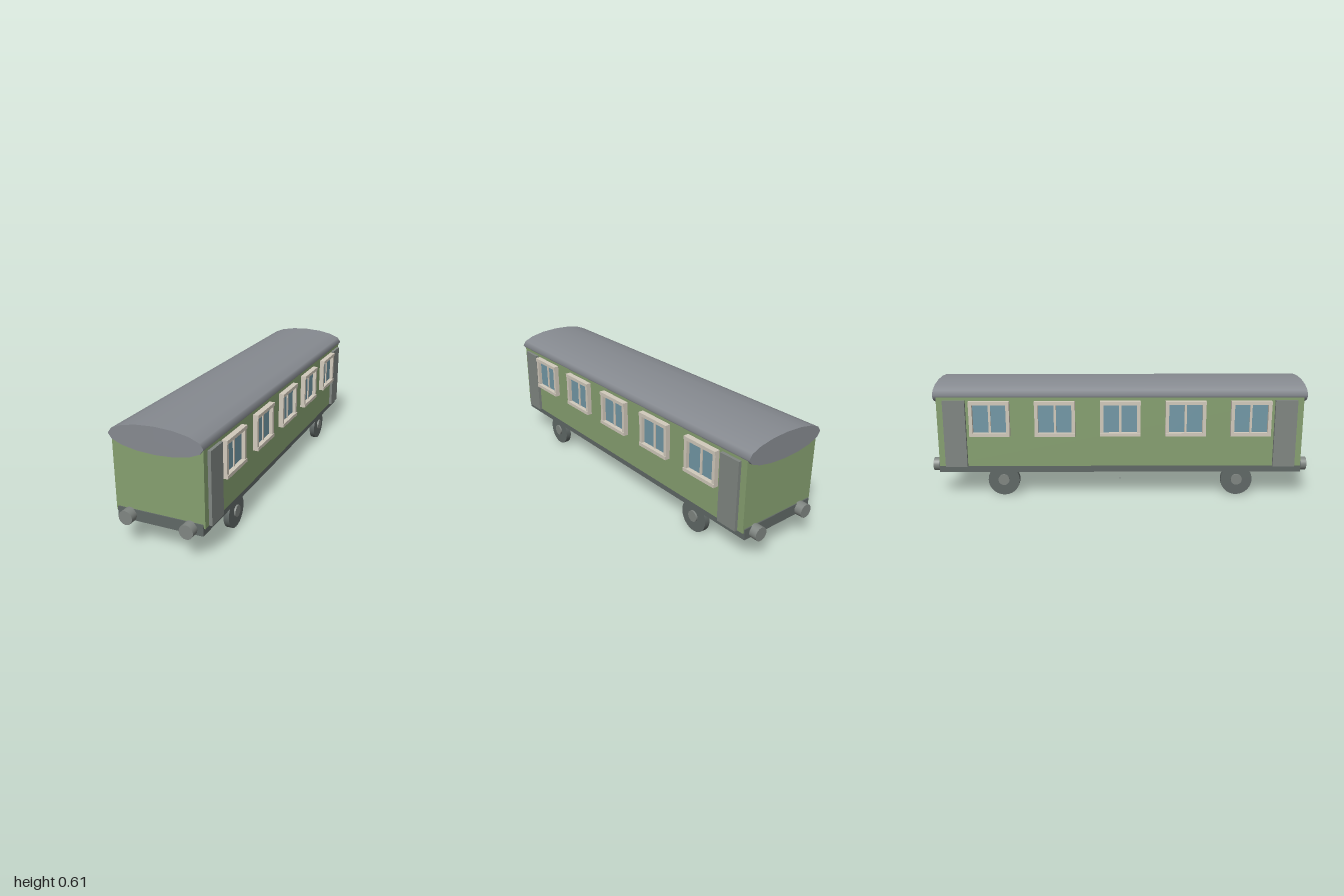
import * as THREE from 'three';

const mat = (color) => new THREE.MeshStandardMaterial({ color });

export function createModel() {
  const model = new THREE.Group();
  const green = mat(0x86a070), roofGrey = mat(0x868a90), dark = mat(0x606866);
  const grey = mat(0x808682), cream = mat(0xd2cabc), glassBlue = mat(0x7298a6);

  const add = (parent, name, geometry, material, x, y, z) => {
    const mesh = new THREE.Mesh(geometry, material);
    mesh.name = name;
    mesh.position.set(x, y, z);
    parent.add(mesh);
    return mesh;
  };
  const box = (parent, name, w, h, d, material, x, y, z) =>
    add(parent, name, new THREE.BoxGeometry(w, h, d), material, x, y, z);
  const rodX = (parent, name, r, length, material, x, y, z) =>
    add(parent, name, new THREE.CylinderGeometry(r, r, length, 40).rotateZ(Math.PI / 2), material, x, y, z);

  // Carriage body on its underframe
  box(model, 'body', 0.452, 0.372, 1.91, green, 0, 0.349, 0);
  box(model, 'underframe', 0.436, 0.056, 1.92, dark, 0, 0.155, 0);

  // Elliptical roof running past both ends
  const roof = new THREE.CylinderGeometry(1, 1, 1.94, 16).rotateX(Math.PI / 2);
  roof.scale(0.234, 0.065, 1);
  add(model, 'roof', roof, roofGrey, 0, 0.543, 0);

  // Small block under the middle of the floor
  box(model, 'smallBlock', 0.008, 0.008, 0.008, grey, 0, 0.02, 0);

  for (const end of [-1, 1]) {
    // Buffers
    for (const side of [-1, 1]) {
      const buffer = new THREE.CylinderGeometry(0.035, 0.035, 0.045, 40).rotateX(Math.PI / 2);
      add(model, 'buffer', buffer, grey, side * 0.154, 0.154, end * 0.9775);
    }

    // Wheelset
    const wheelset = new THREE.Group();
    wheelset.name = 'wheelset';
    wheelset.position.set(0, 0.083, end * 0.62);
    model.add(wheelset);
    rodX(wheelset, 'axle', 0.015, 0.39, dark, 0, 0.002, 0);
    for (const side of [-1, 1]) {
      rodX(wheelset, 'wheel', 0.083, 0.029, dark, side * 0.2025, 0, 0);
      rodX(wheelset, 'hub', 0.029, 0.038, grey, side * 0.207, 0.002, 0);
      // Door
      box(model, 'door', 0.024, 0.355, 0.115, grey, side * 0.23, 0.3405, end * 0.8625);
    }
  }

  // Five framed double windows along each side
  for (const side of [-1, 1]) {
    for (let i = -2; i <= 2; i++) {
      const win = new THREE.Group();
      win.name = 'window';
      win.position.set(side * 0.226, 0.4225, i * 0.34);
      model.add(win);
      box(win, 'glass', 0.012, 0.16, 0.18, glassBlue, 0, 0, 0);
      box(win, 'mullion', 0.024, 0.16, 0.012, cream, 0, 0, 0);
      for (const s of [-1, 1]) {
        box(win, 'frameRail', 0.036, 0.018, 0.21, cream, side * 0.011, s * 0.0835, 0);
        box(win, 'framePost', 0.034, 0.15, 0.018, cream, side * 0.008, 0, s * 0.096);
      }
    }
  }
  return model;
}
